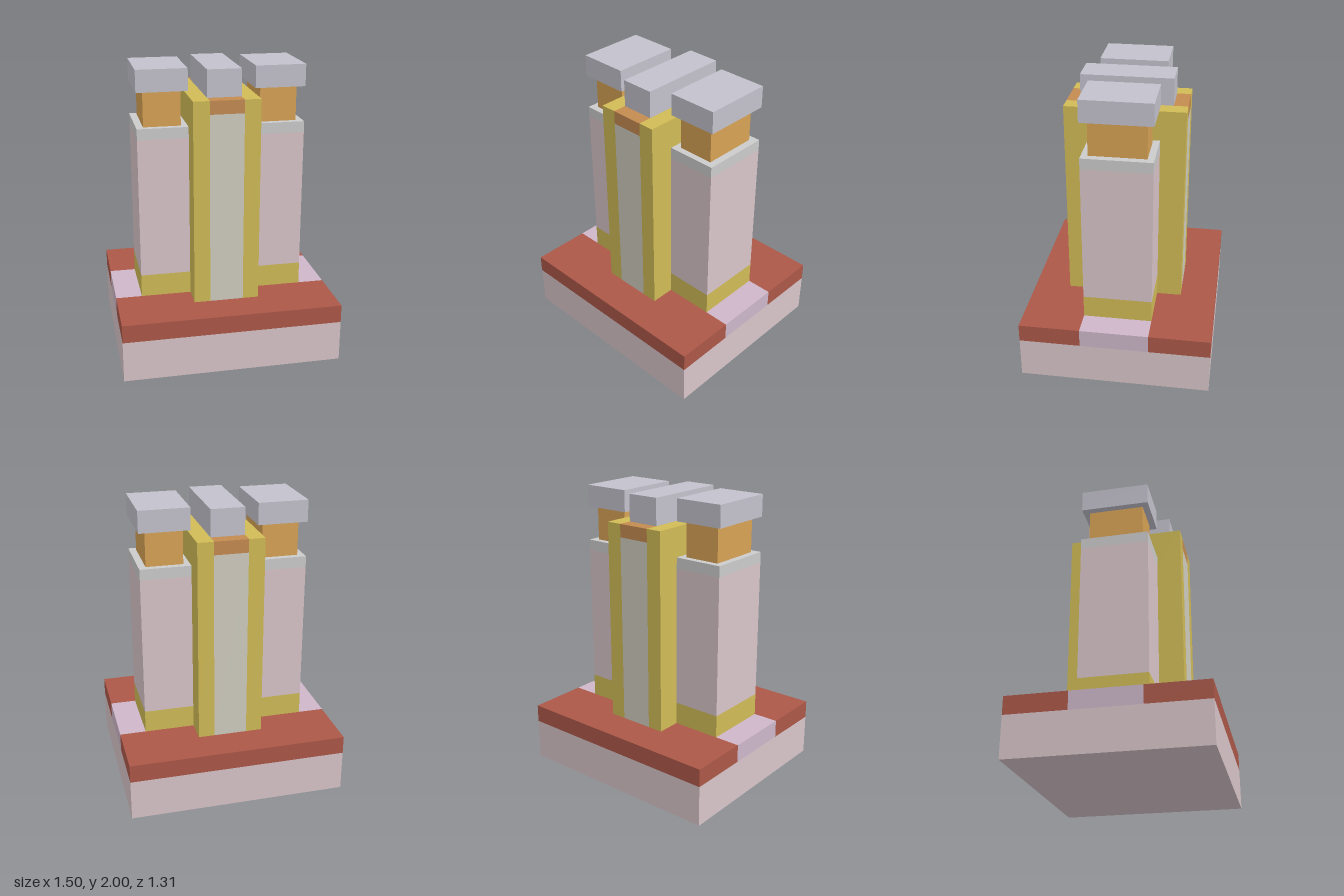
import * as THREE from 'three';

const COLORS = {
  pink: 0xd8c5c9, red: 0xac5848, lilac: 0xcdb6c9, yellow: 0xd0bb56,
  silver: 0xd2d3d6, amber: 0xd7a254, cap: 0xc3c1cb, beige: 0xd0ccbf, copper: 0xc48a50,
};
const materials = {};
for (const key in COLORS) materials[key] = new THREE.MeshStandardMaterial({ color: COLORS[key], flatShading: true });

// Box given by its [min, max] extents on each axis
function block(parent, name, color, [x0, x1], [y0, y1], [z0, z1]) {
  const mesh = new THREE.Mesh(new THREE.BoxGeometry(x1 - x0, y1 - y0, z1 - z0), materials[color]);
  mesh.position.set((x0 + x1) / 2, (y0 + y1) / 2, (z0 + z1) / 2);
  mesh.name = name;
  parent.add(mesh);
}

function subgroup(parent, name) {
  const g = new THREE.Group();
  g.name = name;
  parent.add(g);
  return g;
}

const span = (half) => [-half, half];

export function createModel() {
  const model = new THREE.Group();
  model.name = 'threeTowers';

  // Plinth: pale foundation, red top layer split by a lilac band
  const base = subgroup(model, 'base');
  block(base, 'foundation', 'pink', span(0.75), [0, 0.285], span(0.655));
  block(base, 'frontPaving', 'red', span(0.75), [0.285, 0.41], [0.235, 0.655]);
  block(base, 'backPaving', 'red', span(0.75), [0.285, 0.41], [-0.655, -0.235]);
  block(base, 'crossBand', 'lilac', span(0.75), [0.285, 0.41], span(0.235));

  // Central tower: yellow sides around a pale core with a copper top
  const center = subgroup(model, 'centralTower');
  block(center, 'leftPier', 'yellow', [0.115, 0.225], [0.41, 1.815], span(0.405));
  block(center, 'rightPier', 'yellow', [-0.225, -0.115], [0.41, 1.815], span(0.405));
  block(center, 'core', 'beige', span(0.115), [0.41, 1.725], span(0.405));
  block(center, 'coreTop', 'copper', span(0.115), [1.725, 1.815], span(0.405));
  block(center, 'centralCap', 'cap', span(0.115), [1.815, 2], span(0.31));

  // Side towers, mirrored
  for (const s of [1, -1]) {
    const tower = subgroup(model, s > 0 ? 'leftTower' : 'rightTower');
    const side = (a, b) => (s > 0 ? [a, b] : [-b, -a]);
    block(tower, 'footing', 'yellow', side(0.225, 0.57), [0.41, 0.567], span(0.235));
    block(tower, 'shaft', 'pink', side(0.225, 0.57), [0.567, 1.535], span(0.235));
    block(tower, 'rim', 'silver', side(0.225, 0.57), [1.535, 1.61], span(0.235));
    block(tower, 'neck', 'amber', side(0.27, 0.522), [1.61, 1.85], span(0.19));
    block(tower, 'towerCap', 'cap', side(0.227, 0.57), [1.85, 2], span(0.235));
  }
  return model;
}
